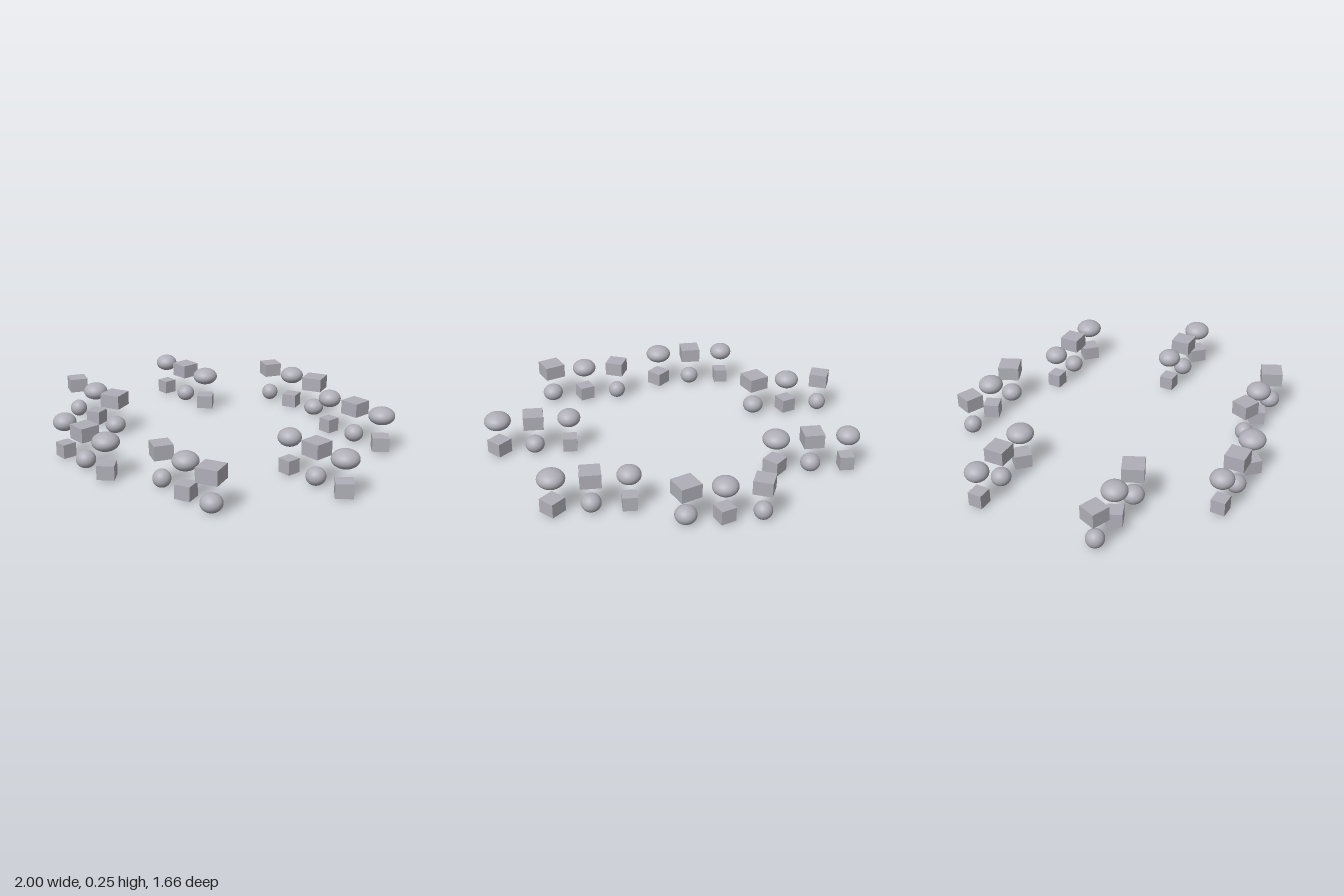
import * as THREE from 'three';

const UNIT = 0.1939; // column spacing
const RING = 4 * UNIT;
const RADIUS = 0.25 * UNIT;

export function createModel() {
  const model = new THREE.Group();
  model.name = 'ringOfClusters';
  const grey = new THREE.MeshStandardMaterial({ color: 0xb0afb8 });
  grey.name = 'stone grey';
  const ball = new THREE.SphereGeometry(RADIUS, 32, 20);
  const block = new THREE.BoxGeometry(0.4 * UNIT, 0.4 * UNIT, 0.4 * UNIT);

  // Seven clusters on a ring, alternating which shape comes first
  for (let k = 0; k < 7; k++) {
    const angle = (k / 7) * Math.PI * 2;
    const cluster = new THREE.Group();
    cluster.name = 'cluster' + (k + 1);
    cluster.position.set(RING * Math.cos(angle) - 0.0422, RADIUS, RING * Math.sin(angle));

    // Two rows of three pieces, each wider and turned further than the last
    for (let i = 0; i < 6; i++) {
      const isBlock = (i + k) % 2 === 0;
      const piece = new THREE.Mesh(isBlock ? block : ball, grey);
      piece.name = (isBlock ? 'block' : 'ball') + (i + 1);
      piece.position.set(((i % 3) - 1) * UNIT, Math.floor(i / 3) * 0.8 * UNIT, 0);
      piece.rotation.y = 0.4 * i;
      piece.scale.set(1 + 0.1 * i, 1, 1 + 0.1 * i);
      cluster.add(piece);
    }
    model.add(cluster);
  }
  return model;
}
